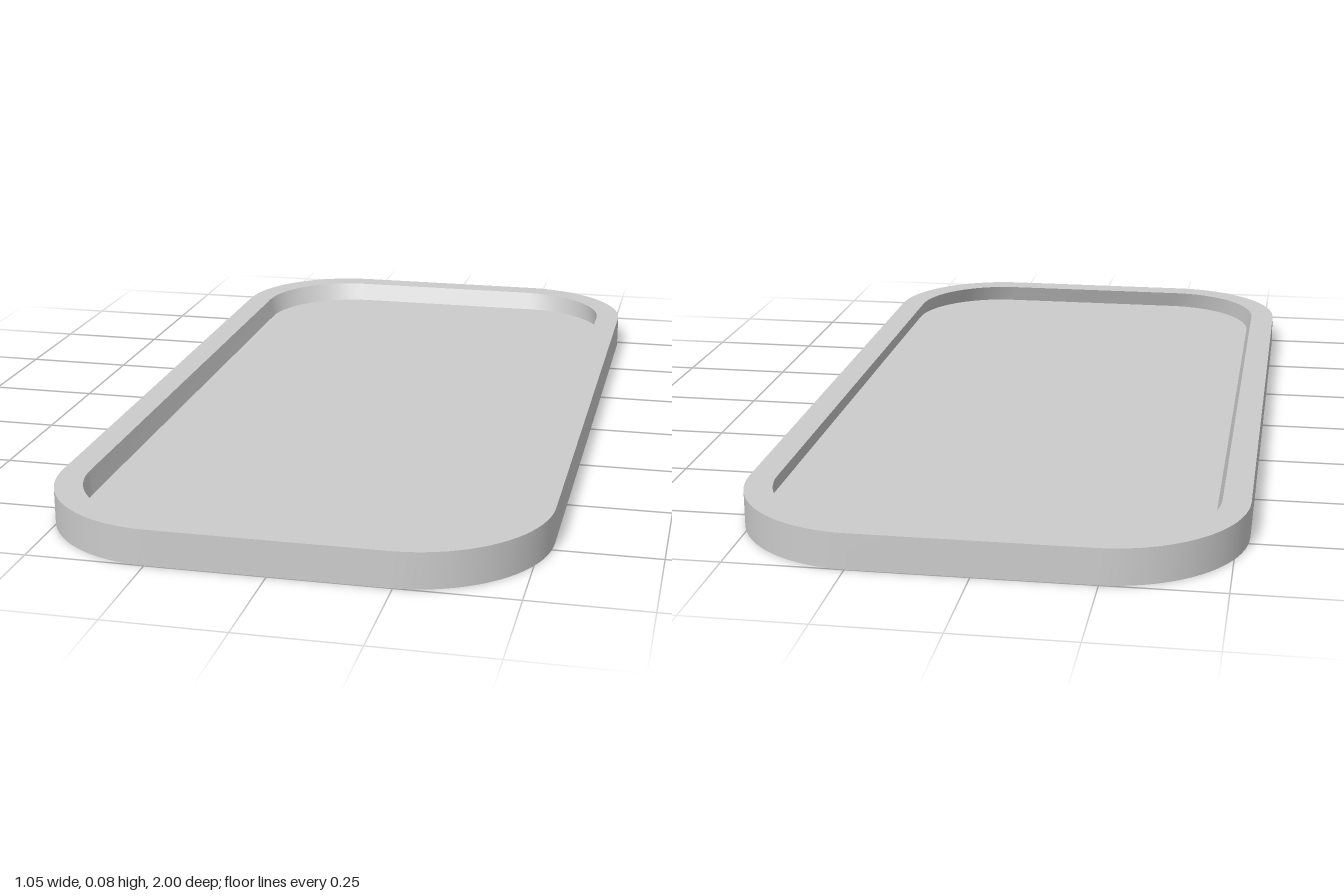
import * as THREE from 'three';
import { toCreasedNormals } from 'three/addons/utils/BufferGeometryUtils.js';

const STEPS = 20; // segments per rounded corner

// Rounded-rectangle outline at height y, counter-clockwise seen from above
function outline(halfW, halfD, radius, y, dx = 0, dz = 0) {
  const points = [];
  [[1, -1], [-1, -1], [-1, 1], [1, 1]].forEach(([sx, sz], corner) => {
    for (let i = 0; i <= STEPS; i++) {
      const a = (corner + i / STEPS) * Math.PI / 2;
      points.push(new THREE.Vector3(
        dx + sx * (halfW - radius) + radius * Math.cos(a),
        y,
        dz + sz * (halfD - radius) - radius * Math.sin(a)));
    }
  });
  return points;
}

// Skin a list of outlines and close the first and last with flat caps
function loft(rings) {
  const n = rings[0].length;
  const pos = [];
  const tri = (...corners) => corners.forEach(p => pos.push(p.x, p.y, p.z));
  const centre = ring => ring.reduce((s, p) => s.add(p), new THREE.Vector3()).divideScalar(n);
  const first = rings[0], last = rings[rings.length - 1];
  const c0 = centre(first), c1 = centre(last);
  for (let i = 0; i < n; i++) {
    const j = (i + 1) % n;
    tri(c0, first[j], first[i]);
    for (let k = 0; k + 1 < rings.length; k++) {
      const a = rings[k], b = rings[k + 1];
      tri(a[i], a[j], b[j]);
      tri(a[i], b[j], b[i]);
    }
    tri(c1, last[i], last[j]);
  }
  const geometry = new THREE.BufferGeometry();
  geometry.setAttribute('position', new THREE.Float32BufferAttribute(pos, 3));
  return toCreasedNormals(geometry, Math.PI / 6);
}

export function createModel() {
  const group = new THREE.Group();
  group.name = 'shallowTray';

  // Underside, outer wall, flat rim, then a slightly slanted pocket and its floor
  const tray = new THREE.Mesh(
    loft([
      outline(0.527, 1, 0.285, 0),
      outline(0.527, 1, 0.285, 0.077),
      outline(0.468, 0.942, 0.23, 0.077),
      outline(0.468, 0.942, 0.23, 0.033, 0.013, 0.019),
    ]),
    new THREE.MeshStandardMaterial({ color: 0xcccccc }));
  tray.name = 'trayBody';
  group.add(tray);
  return group;
}
